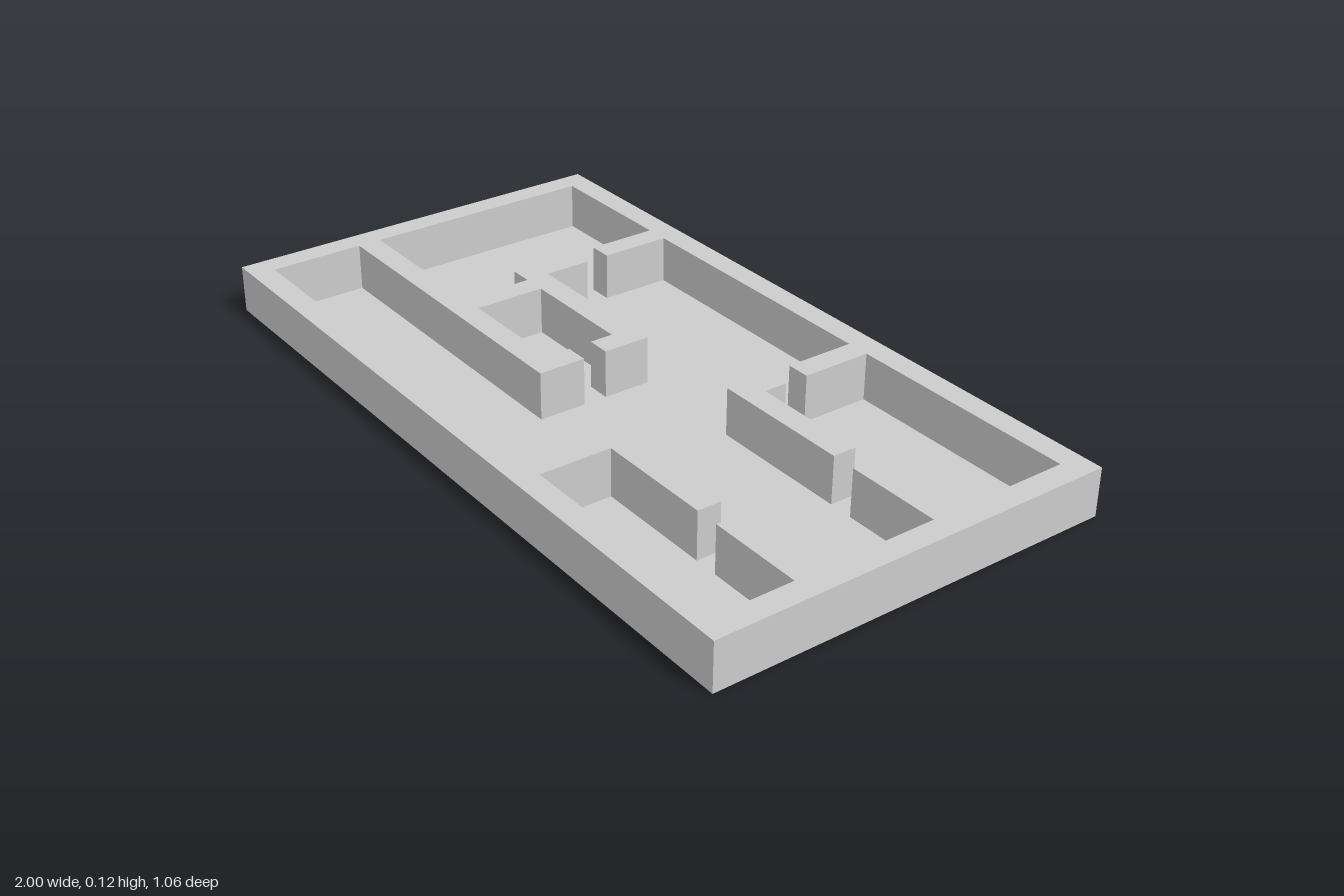
import * as THREE from 'three';

// The plan lies on a grid of 32 x 17 square cells; walls are one cell thick.
const CELL = 1 / 16, COLS = 32, ROWS = 17, HEIGHT = 2 * CELL;
const toX = (i) => (i - COLS / 2) * CELL;
const toZ = (j) => (j - ROWS / 2) * CELL;

// Contours as [column, row], clockwise seen from above.
const OUTLINE = [[0, 0], [COLS, 0], [COLS, ROWS], [0, ROWS]];
const ROOMS = [
  // back wall with two partition stubs
  [1, 1], [7, 1], [7, 4], [8, 4], [8, 1], [20, 1], [20, 4], [21, 4], [21, 1], [31, 1],
  // side wall with two door stubs
  [31, 6], [27, 6], [27, 7], [31, 7], [31, 12], [27, 12], [27, 13], [31, 13], [31, 16],
  // front corner room
  [21, 16], [21, 13], [26, 13], [26, 12], [20, 12], [20, 16], [1, 16],
  // corridor wall, small central room and far room
  [1, 12], [15, 12], [15, 10], [14, 10], [14, 11], [9, 11], [9, 8], [14, 8], [14, 9],
  [15, 9], [15, 7], [8, 7], [8, 5], [7, 5], [7, 8], [8, 8], [8, 11], [1, 11],
];
const ISLAND = [[20, 5], [21, 5], [21, 6], [26, 6], [26, 7], [20, 7]];

// Flat horizontal surface at height y, with optional holes
function slab(contour, holes, y) {
  const points = (c) => c.map(([i, j]) => new THREE.Vector2(toX(i), -toZ(j)));
  const shape = new THREE.Shape(points(contour));
  shape.holes = holes.map((h) => new THREE.Path(points(h)));
  return new THREE.ShapeGeometry(shape).rotateX(-Math.PI / 2).translate(0, y, 0);
}

// Upright faces along a contour, facing inward when it runs clockwise
function sides(contour) {
  const pos = [];
  contour.forEach(([i, j], k) => {
    const [m, n] = contour[(k + 1) % contour.length];
    const a = [toX(i), 0, toZ(j)], b = [toX(m), 0, toZ(n)];
    const c = [b[0], HEIGHT, b[2]], d = [a[0], HEIGHT, a[2]];
    pos.push(...a, ...b, ...c, ...a, ...c, ...d);
  });
  const geo = new THREE.BufferGeometry();
  geo.setAttribute('position', new THREE.Float32BufferAttribute(pos, 3));
  geo.computeVertexNormals();
  return geo;
}

export function createModel() {
  const material = new THREE.MeshStandardMaterial({
    color: 0xcccccc, flatShading: true, side: THREE.DoubleSide,
  });
  const model = new THREE.Group();
  model.name = 'floorPlan';
  const add = (name, geometry) => {
    const mesh = new THREE.Mesh(geometry, material);
    mesh.name = name;
    model.add(mesh);
  };

  // Floor fills the rooms only; the walls are hollow and open underneath
  add('floor', slab(ROOMS, [ISLAND], 0));
  add('wallTops', slab(OUTLINE, [ROOMS], HEIGHT));
  add('outerWallFaces', sides([...OUTLINE].reverse()));
  add('roomWallFaces', sides(ROOMS));
  add('islandWallTop', slab(ISLAND, [], HEIGHT));
  add('islandWallFaces', sides([...ISLAND].reverse()));
  return model;
}
